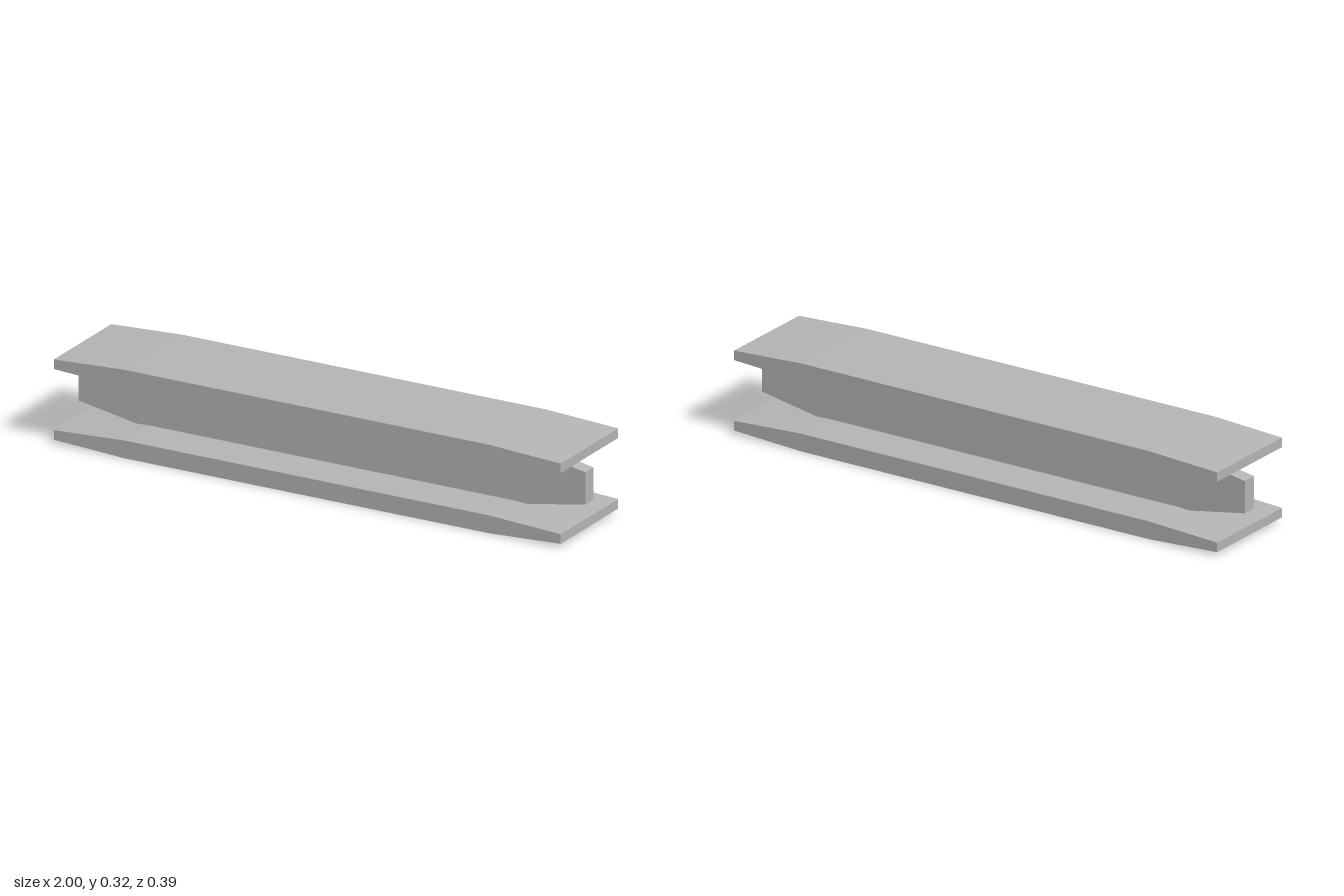
import * as THREE from 'three';

const TAPER_X = 0.72; // where the ends begin to narrow

// Bar along x: full height in the middle, narrowing towards both ends
function taperedBar(name, material, centreY, midHalf, endHalf, width) {
  const shape = new THREE.Shape([
    [-1, -endHalf], [-TAPER_X, -midHalf], [TAPER_X, -midHalf], [1, -endHalf],
    [1, endHalf], [TAPER_X, midHalf], [-TAPER_X, midHalf], [-1, endHalf],
  ].map(([x, y]) => new THREE.Vector2(x, y)));
  const geometry = new THREE.ExtrudeGeometry(shape, { depth: width, bevelEnabled: false });
  geometry.translate(0, centreY, -width / 2);
  const mesh = new THREE.Mesh(geometry, material);
  mesh.name = name;
  return mesh;
}

export function createModel() {
  const group = new THREE.Group();
  group.name = 'beam';
  const steel = new THREE.MeshStandardMaterial({ color: 0xb4b4b4 });
  steel.name = 'grey steel';

  // Flanges
  group.add(taperedBar('bottomFlange', steel, 0.0325, 0.0325, 0.0175, 0.392));
  group.add(taperedBar('topFlange', steel, 0.2905, 0.0325, 0.0175, 0.392));

  // Upright web, set slightly into both flanges
  group.add(taperedBar('web', steel, 0.162, 0.109, 0.059, 0.056));
  return group;
}
